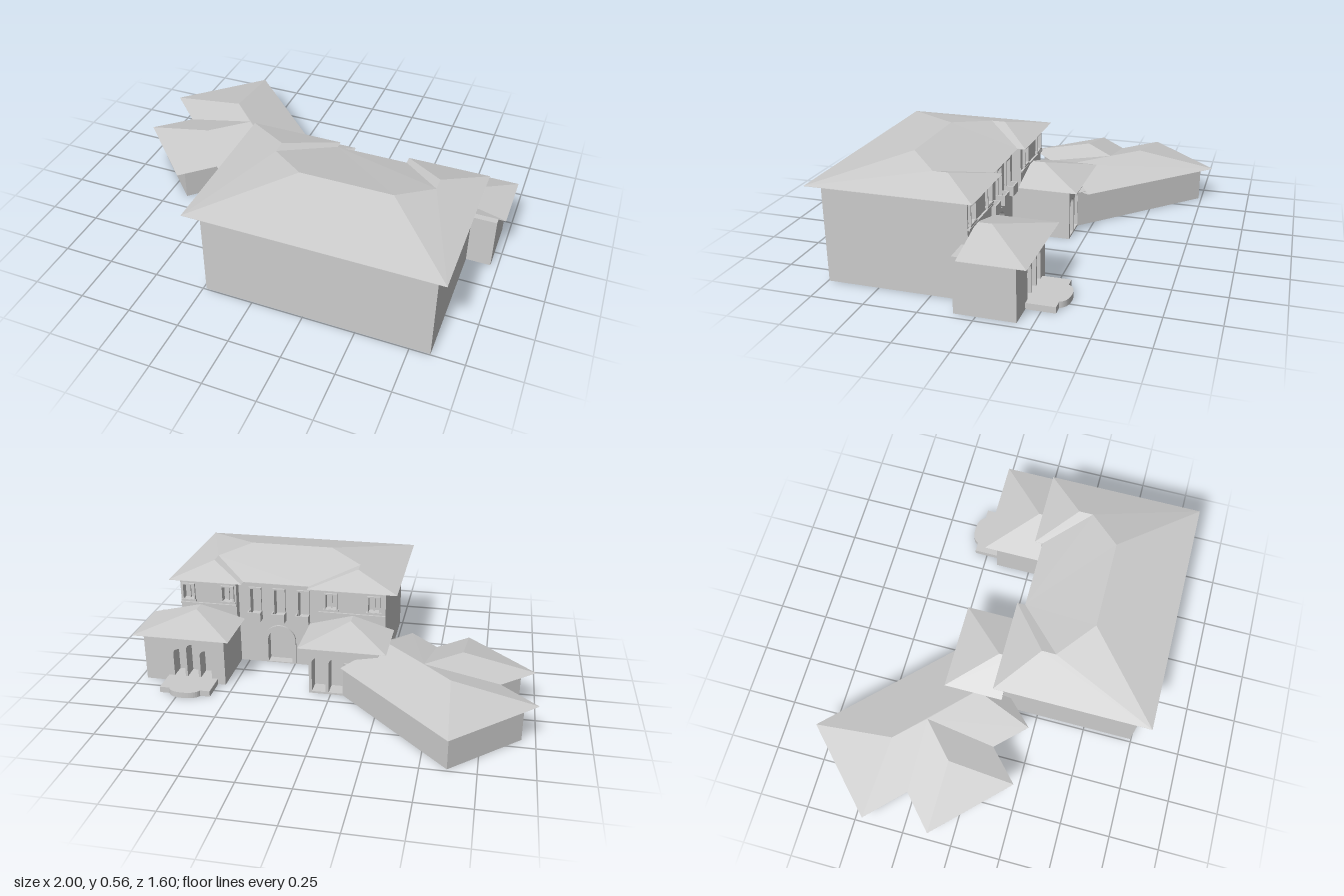
import * as THREE from 'three';

const wallMat = new THREE.MeshStandardMaterial({ color: 0xcccccc, flatShading: true });
const thinMat = new THREE.MeshStandardMaterial({ color: 0xcccccc, flatShading: true, side: THREE.DoubleSide });

function add(parent, name, geo, mat = wallMat) {
  const m = new THREE.Mesh(geo, mat);
  m.name = name;
  parent.add(m);
  return m;
}

// Box given by its limits
function box(parent, name, x0, x1, y0, y1, z0, z1) {
  const g = new THREE.BoxGeometry(x1 - x0, y1 - y0, z1 - z0);
  return add(parent, name, g.translate((x0 + x1) / 2, (y0 + y1) / 2, (z0 + z1) / 2));
}

const planShape = pts => new THREE.Shape(pts.map(([x, z]) => new THREE.Vector2(x, -z)));

// Upright prism over an x,z outline
function prism(parent, name, pts, y0, y1) {
  const g = new THREE.ExtrudeGeometry(planShape(pts), { depth: y1 - y0, bevelEnabled: false });
  return add(parent, name, g.rotateX(-Math.PI / 2).translate(0, y0, 0));
}

// Roof slopes from named points [x, z, y], with a flat soffit under the eaves
function roof(parent, name, p, faces, eave, y) {
  const pos = [];
  const a = new THREE.Vector3(), b = new THREE.Vector3(), c = new THREE.Vector3();
  for (const face of faces) {
    const v = face.split(' ').map(k => new THREE.Vector3(p[k][0], p[k][2] ?? y, p[k][1]));
    for (let i = 1; i < v.length - 1; i++) {
      a.copy(v[0]); b.copy(v[i]); c.copy(v[i + 1]);
      const up = b.clone().sub(a).cross(c.clone().sub(a)).y;
      for (const q of up >= 0 ? [a, b, c] : [a, c, b]) pos.push(q.x, q.y, q.z);
    }
  }
  const g = new THREE.BufferGeometry();
  g.setAttribute('position', new THREE.Float32BufferAttribute(pos, 3));
  g.computeVertexNormals();
  add(parent, name, g, thinMat);
  const s = new THREE.ShapeGeometry(planShape(eave.split(' ').map(k => p[k])));
  add(parent, name + 'Soffit', s.rotateX(-Math.PI / 2).translate(0, y - 0.002, 0), thinMat);
}

// Opening outline: square-headed, or arched when arch is true (y1 is the top)
function opening({ x, w, y0, y1, arch }, Type = THREE.Path) {
  const r = w / 2, s = new Type();
  s.moveTo(x - r, y0);
  s.lineTo(x + r, y0);
  s.lineTo(x + r, arch ? y1 - r : y1);
  if (arch) s.absarc(x, y1 - r, r, 0, Math.PI, false);
  else s.lineTo(x - r, y1);
  s.lineTo(x - r, y0);
  return s;
}

// Rear wall panel pierced by openings
function facade(parent, name, x0, x1, h, z, depth, holes) {
  const s = new THREE.Shape();
  s.moveTo(x0, 0); s.lineTo(x1, 0); s.lineTo(x1, h); s.lineTo(x0, h); s.lineTo(x0, 0);
  s.holes = holes.map(o => opening(o));
  const g = new THREE.ExtrudeGeometry(s, { depth, bevelEnabled: false, curveSegments: 12 });
  add(parent, name, g.translate(0, 0, z));
}

// Raised surround standing out from the wall around an opening
function frame(parent, name, o, z, t = 0.01) {
  const s = opening({ ...o, w: o.w + 2 * t, y1: o.y1 + t }, THREE.Shape);
  s.holes = [opening({ ...o, y0: o.y0 + 0.001 })];
  const g = new THREE.ExtrudeGeometry(s, { depth: 0.012, bevelEnabled: false, curveSegments: 12 });
  add(parent, name, g.translate(0, 0, z - 0.012));
}

function buildMainHouse(g) {
  prism(g, 'mainWalls', [[-0.235, 0.1], [0.11, 0.1], [0.11, 0.155], [0.545, 0.155], [0.545, 0.1],
    [0.845, 0.1], [0.845, 0.745], [-0.235, 0.745]], 0, 0.47);

  // Upper windows of the two projecting bays
  for (const [x0, x1, xs] of [[-0.235, 0.11, [-0.175, 0.045]], [0.545, 0.845, [0.59, 0.8]]]) {
    const holes = xs.map(x => ({ x, w: 0.055, y0: 0.355, y1: 0.435 }));
    facade(g, 'bayWall', x0, x1, 0.47, 0.07, 0.03, holes);
    for (const o of holes) {
      frame(g, 'windowFrame', o, 0.07, 0.007);
      box(g, 'windowSill', o.x - 0.04, o.x + 0.04, 0.345, 0.355, 0.056, 0.07);
      box(g, 'windowMullion', o.x - 0.003, o.x + 0.003, 0.355, 0.435, 0.085, 0.095);
    }
    box(g, 'bayLedge', x0, x1, 0.33, 0.338, 0.06, 0.07);
  }

  // Recessed centre with a large arched door and three balcony windows
  const door = { x: 0.3275, w: 0.13, y0: 0.01, y1: 0.2, arch: true };
  const tall = [0.2, 0.3275, 0.455].map(x => ({ x, w: 0.05, y0: 0.275, y1: 0.42 }));
  facade(g, 'centreWall', 0.11, 0.545, 0.47, 0.115, 0.04, [door, ...tall]);
  frame(g, 'doorSurround', door, 0.115, 0.02);
  for (const o of tall) {
    frame(g, 'balconyWindowFrame', o, 0.115, 0.008);
    box(g, 'balconyFloor', o.x - 0.035, o.x + 0.035, 0.25, 0.262, 0.068, 0.115);
    box(g, 'balconyFront', o.x - 0.035, o.x + 0.035, 0.262, 0.3, 0.068, 0.075);
    for (const s of [-1, 1]) {
      const x = o.x + s * 0.0315;
      box(g, 'balconySide', x - 0.0035, x + 0.0035, 0.262, 0.3, 0.075, 0.115);
    }
  }

  // Hipped roof with two rear hipped bays
  roof(g, 'mainRoof', {
    A: [-0.295, 0.8], B: [0.89, 0.8], R: [0.11, 0.43, 0.556], S: [0.55, 0.43, 0.556],
    a: [-0.295, 0.03], b: [0.16, 0.03], c: [0.16, 0.07], p: [-0.07, 0.21, 0.525], q: [-0.07, 0.28, 0.525],
    f: [0.89, 0.03], e: [0.505, 0.03], d: [0.505, 0.07], r: [0.7, 0.21, 0.525], s: [0.7, 0.28, 0.525],
  }, ['A B S R', 'A R q p a', 'B S s r f', 'c q R S s d', 'a p b', 'b p q c', 'f r e', 'e r s d'],
  'A B f e d c b a', 0.47);
}

// Single-storey pavilion with an arcade at the back
function buildPavilion(g, name, [x0, x1], [e0, e1], peak, zEave, arches) {
  const y = 0.265;
  box(g, name + 'Walls', x0, x1, 0, y, -0.1, 0.1);
  facade(g, name + 'Arcade', x0, x1, y, -0.18, 0.08, arches);
  roof(g, name + 'Roof', {
    a: [e0, zEave], b: [e1, zEave], c: [e1, 0.068], d: [e0, 0.068],
    p: [peak, 0, 0.328], q: [peak, 0.068, 0.328],
  }, ['a b p', 'b c q p', 'a p q d', 'c d q'], 'a b c d', y);
}

function buildSteps(g) {
  const s = new THREE.Shape();
  s.moveTo(0.585, 0.18);
  s.lineTo(0.845, 0.18);
  s.lineTo(0.845, 0.315);
  s.lineTo(0.795, 0.315);
  s.quadraticCurveTo(0.78, 0.352, 0.715, 0.352);
  s.quadraticCurveTo(0.65, 0.352, 0.635, 0.315);
  s.lineTo(0.585, 0.315);
  const geo = new THREE.ExtrudeGeometry(s, { depth: 0.03, bevelEnabled: false, curveSegments: 8 });
  add(g, 'terraceStep', geo.rotateX(-Math.PI / 2));
}

// Low diagonal wing with a hipped cross wing
function buildDiagonalWing(g) {
  prism(g, 'diagonalWingWalls', [[-0.936, -0.435], [-0.62, -0.736], [-0.064, -0.18], [-0.235, -0.17],
    [-0.235, 0.045], [-0.355, 0.166], [-0.5, 0.021], [-0.648, 0.166], [-0.922, -0.11], [-0.762, -0.26]], 0, 0.182);
  roof(g, 'diagonalWingRoof', {
    a: [-1, -0.435], b: [-0.62, -0.8], c: [-0.06, -0.235], d: [-0.225, 0.095], e: [-0.36, 0.23],
    f: [-0.5, 0.085], h: [-0.655, 0.23], i: [-0.99, -0.11], j: [-0.825, -0.26],
    p: [-0.6, -0.4, 0.255], v: [-0.465, -0.26, 0.255], q: [-0.26, -0.06, 0.255], k: [-0.64, -0.1, 0.255],
  }, ['a p b', 'b p q c', 'a j v p', 'v f e q', 'e d q', 'i k h', 'i j v k', 'h k v f'],
  'a b c d e f h i j', 0.182);
}

export function createModel() {
  const g = new THREE.Group();
  g.name = 'villa';
  buildMainHouse(g);
  buildPavilion(g, 'arcadePavilion', [-0.235, 0.11], [-0.28, 0.155], -0.07, -0.226,
    [-0.025, 0.06].map(x => ({ x, w: 0.07, y0: 0.01, y1: 0.2, arch: true })));
  buildPavilion(g, 'terracePavilion', [0.545, 0.965], [0.505, 1], 0.74, -0.234,
    [-1, 0, 1].map(i => ({ x: 0.715 + i * 0.07, w: 0.058, y0: 0.03, y1: i ? 0.18 : 0.21, arch: true })));
  buildSteps(g);
  buildDiagonalWing(g);
  return g;
}
